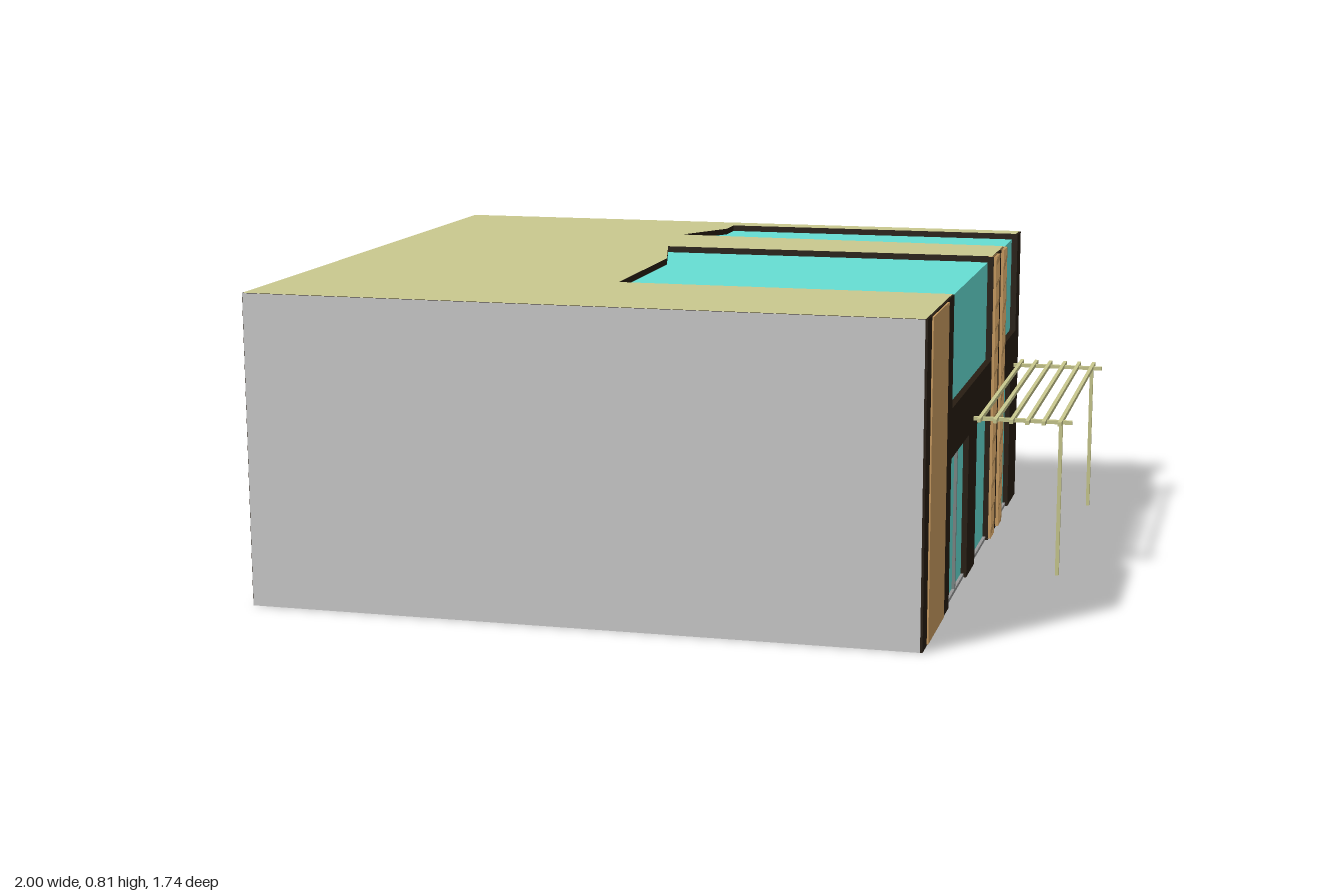
import * as THREE from 'three';

const mat = (color) => new THREE.MeshStandardMaterial({ color });

export function createModel() {
  const model = new THREE.Group();
  const grey = mat(0xcccccc), floorGrey = mat(0x999999), dark = mat(0x271d12);
  const khaki = mat(0xc9c88e), glass = mat(0x66ded3), wood = mat(0xc99b60);
  const H = 0.81, D = 0.87, FACE = 0.737;

  // Box given by its limits on each axis
  function block(name, material, [x0, x1], [y0, y1], [z0, z1], parent = model) {
    const mesh = new THREE.Mesh(new THREE.BoxGeometry(x1 - x0, y1 - y0, z1 - z0), material);
    mesh.position.set((x0 + x1) / 2, (y0 + y1) / 2, (z0 + z1) / 2);
    mesh.name = name;
    parent.add(mesh);
    return mesh;
  }

  // Horizontal slab from an [x, z] outline
  function slab(name, materials, outline, y0, y1) {
    const shape = new THREE.Shape(outline.map(([x, z]) => new THREE.Vector2(x, -z)));
    const geo = new THREE.ExtrudeGeometry(shape, { depth: y1 - y0, bevelEnabled: false });
    geo.rotateX(-Math.PI / 2);
    const mesh = new THREE.Mesh(geo, materials);
    mesh.position.y = y0;
    mesh.name = name;
    model.add(mesh);
  }

  // Floor, side walls, rear wall and rear door
  block('floor', floorGrey, [-0.99, 0.73], [0, 0.01], [-0.865, 0.865]);
  for (const s of [-1, 1]) {
    const z = [s * D, s * (D - 0.006)].sort((a, b) => a - b);
    block('sideWall', grey, [-0.998, 0.731], [0, H], z);
  }
  block('rearWall', dark, [-0.999, -0.985], [0, H - 0.001], [-D + 0.001, D - 0.001]);
  block('rearDoor', grey, [-1, -0.99], [0, 0.42], [-0.15, -0.04]);

  // Roof with two notches open to the facade, and glazing just below it
  const smallNotch = [[0.732, -0.505], [-0.23, -0.54], [-0.135, -0.71], [-0.135, -0.797], [0.732, -0.797]];
  const largeNotch = [[0.732, 0.458], [-0.135, 0.458], [-0.135, -0.015], [-0.2, -0.268], [0.732, -0.275]];
  const R = D - 0.001;
  slab('roof', [khaki, dark],
    [[-0.998, -R], [-0.998, R], [0.732, R], ...largeNotch, ...smallNotch, [0.732, -R]], 0.792, H + 0.001);
  for (const notch of [smallNotch, largeNotch]) {
    slab('upperGlazing', glass, notch.map(([x, z]) => [Math.min(x, 0.72), z]), 0.5, 0.794);
  }

  // Facade: spandrel plus lower and upper piers
  const depth = [0.7, FACE];
  block('spandrel', dark, depth, [0.39, 0.52], [-D, D]);
  for (const z of [[0.46, D], [0, 0.15], [-0.5, -0.27], [-D, -0.7]]) {
    block('lowerPier', dark, depth, [0, 0.39], z);
  }
  for (const z of [[0.46, D], [-0.5, -0.27], [-D, -0.795]]) {
    block('upperPier', dark, depth, [0.52, H], z);
  }

  // Ground floor glazing and the mullion of the double door
  for (const z of [[0.15, 0.46], [-0.27, 0], [-0.7, -0.5]]) {
    block('lowerWindow', glass, [0.7, 0.722], [0.003, 0.39], z);
  }
  block('doorMullion', mat(0x7d8785), [0.71, 0.73], [0.003, 0.39], [0.3, 0.31]);

  // Timber panel and two bands of upright slats
  block('timberPanel', wood, [0.72, 0.741], [0.004, H - 0.003], [0.562, 0.808]);
  for (const start of [-0.345, -0.5]) {
    for (let i = 0; i < 4; i++) {
      const z = start + i * 0.0205;
      block('timberSlat', wood, [0.72, 0.745], [0.004, H], [z, z + 0.0125]);
    }
  }

  // Pergola: two beams on posts carrying six rafters
  const pergola = new THREE.Group();
  pergola.name = 'pergola';
  model.add(pergola);
  for (const z of [0.066, -0.772]) {
    block('beam', khaki, [0.73, 1], [0.414, 0.424], [z - 0.006, z + 0.006], pergola);
    block('post', khaki, [0.965, 0.975], [0, 0.416], [z - 0.005, z + 0.005], pergola);
  }
  for (let i = 0; i < 6; i++) {
    const x = 0.757 + i * 0.0428;
    block('rafter', khaki, [x - 0.005, x + 0.005], [0.417, 0.428], [-0.825, 0.113], pergola);
  }
  return model;
}
